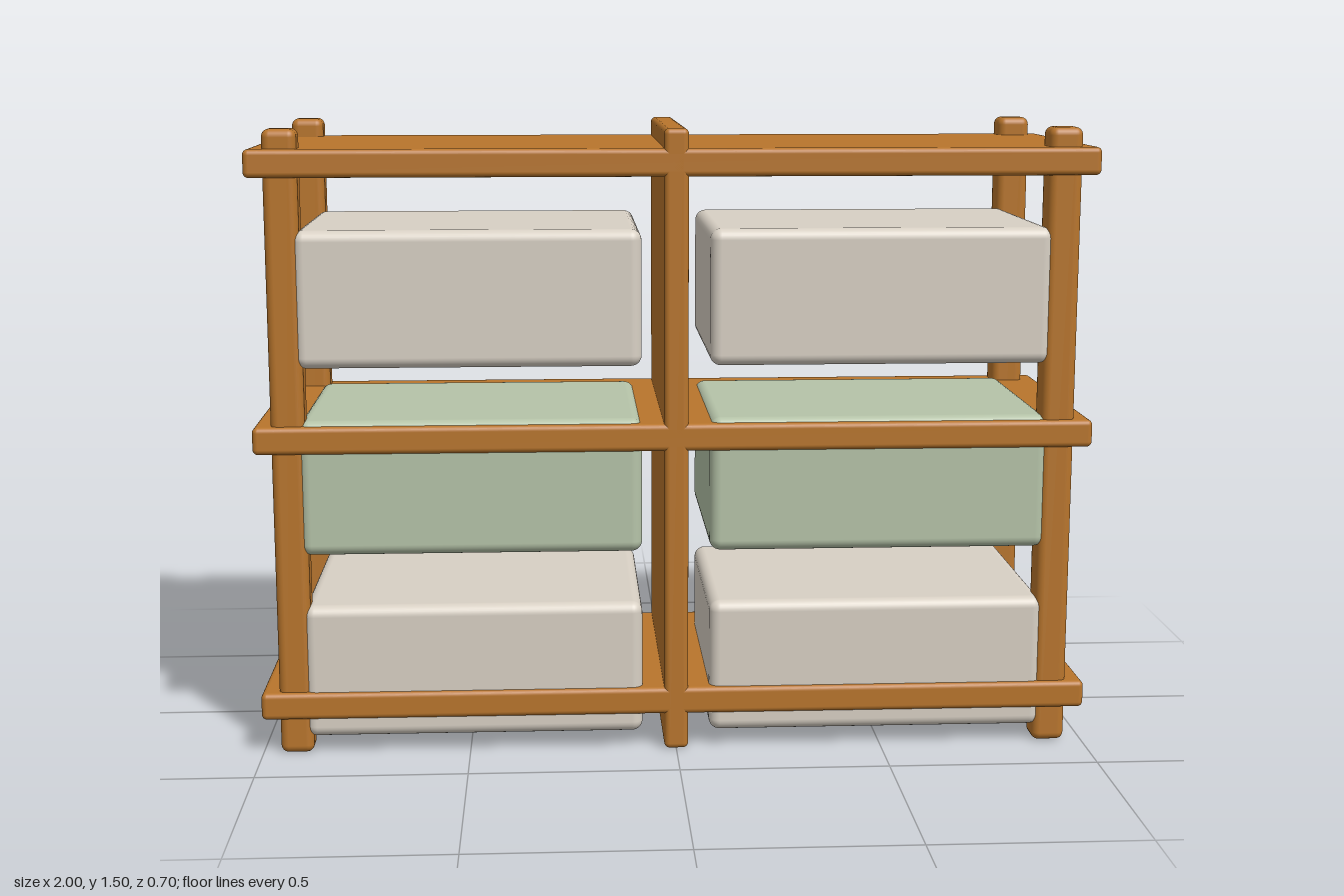
import * as THREE from 'three';
import { RoundedBoxGeometry } from 'three/addons/geometries/RoundedBoxGeometry.js';

const material = (name, color) => {
  const m = new THREE.MeshStandardMaterial({ color });
  m.name = name;
  return m;
};

export function createModel() {
  const wood = material('wood', 0xb8752c);
  const linen = material('linen', 0xd8d0c4);
  const sage = material('sage', 0xb5c3a8);

  const group = new THREE.Group();
  group.name = 'storageShelf';

  const block = (name, mat, size, pos, radius) => {
    const mesh = new THREE.Mesh(new RoundedBoxGeometry(...size, 4, radius), mat);
    mesh.name = name;
    mesh.position.set(...pos);
    group.add(mesh);
  };

  // Shelf boards
  ['bottomShelf', 'middleShelf', 'topShelf'].forEach((name, i) =>
    block(name, wood, [2, 0.066, 0.698], [0, 0.121 + i * 0.65, 0], 0.013));

  // Upright divider through the middle
  block('centerDivider', wood, [0.058, 1.5, 0.698], [0, 0.75, 0], 0.013);

  for (const side of [-1, 1]) {
    const label = side > 0 ? 'left' : 'right';

    // Corner posts
    for (const end of [-1, 1]) {
      block(`${label}${end > 0 ? 'Front' : 'Back'}Post`, wood,
        [0.08, 1.5, 0.08], [side * 0.918, 0.75, end * 0.296], 0.019);
    }

    // Storage bins: three tiers, the middle one green, set towards the front
    ['Lower', 'Middle', 'Upper'].forEach((tier, i) =>
      block(`${label}${tier}Bin`, i === 1 ? sage : linen,
        [0.814, 0.325, 0.589], [side * 0.488, 0.2025 + i * 0.45, 0.0445], 0.026));
  }

  return group;
}
